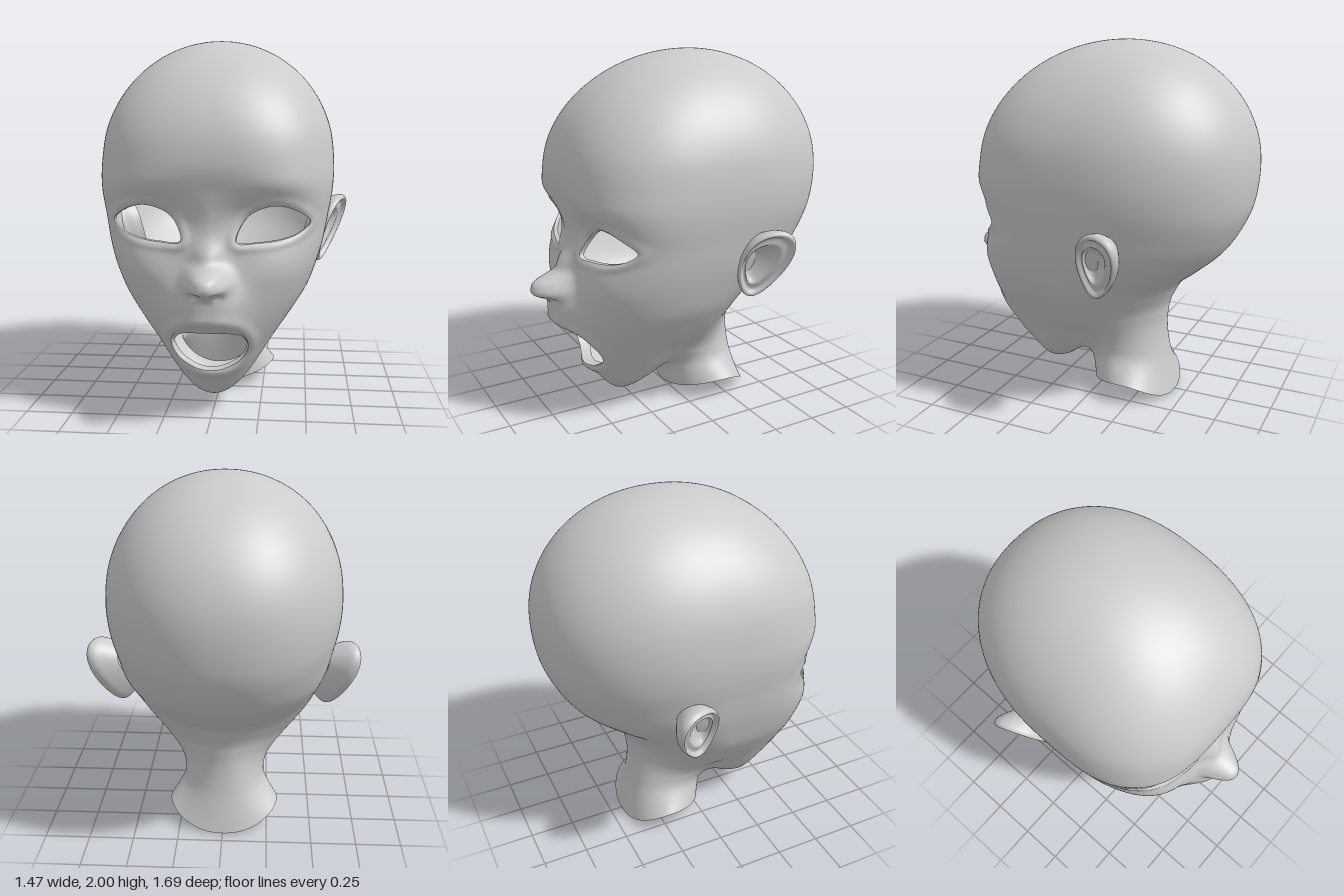
import * as THREE from 'three';
import { mergeVertices } from 'three/addons/utils/BufferGeometryUtils.js';

const V = (x, y, z = 0) => new THREE.Vector3(x, y, z);
const material = new THREE.MeshStandardMaterial({ color: 0xcccccc, side: THREE.DoubleSide });

// Smooth mesh from a list of triangle corners
function smoothMesh(name, corners) {
  let g = new THREE.BufferGeometry().setFromPoints(corners);
  g = mergeVertices(g, 1e-5);
  g.computeVertexNormals();
  const mesh = new THREE.Mesh(g, material);
  mesh.name = name;
  return mesh;
}

// Head cross-sections, crown to neck:
// front y, front z, side y, side z, half width, back y, back z, front squareness, pinch behind the jaw
const rings = [];
for (let deg = 105; deg >= 0; deg -= 15) {
  const s = Math.sin(deg * Math.PI / 180), c = Math.cos(deg * Math.PI / 180);
  const y = 1.35 + 0.65 * s;
  rings.push([y, -0.12 + 0.785 * c, y, -0.12 + 0.04 * c, 0.64 * c, y, -0.12 - 0.73 * c, 2.85 - 0.75 * s, 0]);
}
rings.push(
  [1.2, 0.64, 1.2, -0.05, 0.635, 1.15, -0.83, 3.1, 0],
  [1.05, 0.625, 1.05, 0, 0.61, 1.0, -0.77, 3, 0],
  [0.9, 0.625, 0.92, 0.01, 0.585, 0.88, -0.69, 3, 0.05],
  [0.75, 0.65, 0.8, 0.03, 0.55, 0.77, -0.57, 2.75, 0.15],
  [0.6, 0.65, 0.68, 0.05, 0.505, 0.68, -0.46, 2.45, 0.28],
  [0.45, 0.615, 0.58, 0.06, 0.445, 0.6, -0.41, 2.25, 0.35],
  [0.3, 0.535, 0.51, 0.08, 0.398, 0.53, -0.38, 2.05, 0.37],
  [0.17, 0.45, 0.455, 0.08, 0.352, 0.47, -0.37, 2, 0.33],
  [0.09, 0.36, 0.41, 0.06, 0.308, 0.42, -0.365, 2, 0.25],
  [0.105, 0.25, 0.365, 0.01, 0.265, 0.37, -0.365, 2, 0.13],
  [0.18, 0.14, 0.31, -0.07, 0.235, 0.3, -0.37, 2, 0.04],
  [0.17, 0.075, 0.23, -0.15, 0.235, 0.19, -0.387, 2, 0],
  [0.05, 0.04, 0.12, -0.22, 0.31, 0.002, -0.43, 2, 0]
);
const CHIN = 16;
const BACK_SQUARENESS = 2.2;

// Catmull-Rom blend between neighbouring cross-sections
function ringAt(v) {
  const last = rings.length - 1, i = Math.min(Math.floor(v), last - 1), t = v - i;
  const [a, b, c, d] = [i - 1, i, i + 1, i + 2].map(k => rings[Math.max(0, Math.min(last, k))]);
  return b.map((p, k) => p + 0.5 * t * (c[k] - a[k] +
    t * (2 * a[k] - 5 * p + 4 * c[k] - d[k] + t * (3 * (p - c[k]) + d[k] - a[k]))));
}

// Openings, as closed outlines in x and y
const outline = pts => new THREE.CatmullRomCurve3(pts.map(p => V(p[0], p[1])), true).getPoints(48);
const eyeOutline = outline([[0.14, 0.962], [0.155, 1.03], [0.21, 1.1], [0.33, 1.143], [0.44, 1.115],
  [0.51, 1.055], [0.45, 1.0], [0.36, 0.972], [0.25, 0.96]]);
const mouthHalf = [[0.09, 0.54], [0.165, 0.505], [0.2, 0.43], [0.172, 0.345], [0.095, 0.294]];
const mouthOutline = outline([[0, 0.546], ...mouthHalf, [0, 0.278],
  ...mouthHalf.map(([x, y]) => [-x, y]).reverse()]);

// Signed distance to an outline, negative inside
function distance(poly, x, y) {
  let best = Infinity, inside = false;
  for (let i = 0; i < poly.length - 1; i++) {
    const a = poly[i], b = poly[i + 1], ex = b.x - a.x, ey = b.y - a.y;
    const t = Math.max(0, Math.min(1, ((x - a.x) * ex + (y - a.y) * ey) / (ex * ex + ey * ey || 1)));
    best = Math.min(best, Math.hypot(x - a.x - t * ex, y - a.y - t * ey));
    if ((a.y > y) !== (b.y > y) && x < a.x + ex * (y - a.y) / ey) inside = !inside;
  }
  return inside ? -best : best;
}

// Facial relief, mirrored in x: x, y, width, height, amount, flatness
const relief = [
  [0, 0.775, 0.095, 0.064, 0.165, 3],    // nose tip
  [0, 0.88, 0.075, 0.085, 0.06, 2],      // nose bridge
  [0.1, 0.765, 0.035, 0.035, 0.03, 2],   // nostril wings
  [0.055, 0.715, 0.026, 0.016, -0.035, 2], // nostrils
  [0, 0.635, 0.16, 0.11, 0.08, 3],       // upper lip
  [0, 0.26, 0.12, 0.035, 0.02, 2],       // lower lip
  [0.29, 1.07, 0.17, 0.1, -0.085, 2],    // eye sockets
  [0.38, 1.25, 0.2, 0.06, 0.012, 2],     // brows
  [0.38, 0.84, 0.16, 0.12, 0.02, 2]      // cheeks
];
const bell = (q, power = 2) => Math.exp(-(Math.abs(q) ** power));

// Point on the head, with its distance from the nearest opening
function headPoint(v, angle) {
  const [yf, zf, ys, zs, w, yb, zb, squareness, pinch] = ringAt(v);
  const s = Math.sin(angle), c = Math.cos(angle);
  const n = c < 0 ? BACK_SQUARENESS : squareness;
  const r = (Math.abs(s) ** n + Math.abs(c) ** n) ** (-1 / n), t = r * Math.abs(c);
  if (c < 0) {
    const p = V(w * r * s * (1 - pinch * t * t), ys + (yb - ys) * t * t, zs + (zb - zs) * t);
    return { p, d: 1 };
  }
  const p = V(w * r * s, ys + (yf - ys) * t * t, zs + (zf - zs) * t);
  if (v >= CHIN || p.y > 1.6) return { p, d: 1 };
  const x = Math.abs(p.x);
  const eye = distance(eyeOutline, x, p.y), mouth = distance(mouthOutline, x, p.y);
  for (const [cx, cy, sx, sy, amount, power] of relief) {
    p.z += amount * bell((x - cx) / sx, power) * bell((p.y - cy) / sy, power);
  }
  p.z += 0.013 * bell((eye - 0.018) / 0.02) + 0.018 * bell((mouth - 0.025) / 0.03);
  return { p, d: Math.min(eye, mouth) };
}

// Head skin with the openings cut out, and the rims that turn inward
function buildHead(group) {
  const COLS = 240, ROWS = 200, grid = [], skin = [], lids = [], lips = [];
  for (let i = 0; i <= ROWS; i++) {
    const v = 1 + (rings.length - 2) * i / ROWS, row = [];
    for (let j = 0; j < COLS; j++) row.push(headPoint(v, j / COLS * Math.PI * 2));
    row.push(row[0]);
    grid.push(row);
  }
  const inward = p => {
    if (p.y < 0.8) return V(p.x * 0.95, 0.4 + (p.y - 0.4) * (p.y > 0.4 ? 0.7 : 0.97), p.z - 0.06);
    const cx = Math.sign(p.x) * 0.32;
    return V(cx + (p.x - cx) * 0.98, 1.05 + (p.y - 1.05) * 0.98, p.z - 0.025);
  };
  const addTriangle = (...tri) => {
    const poly = [];
    let leave, enter;
    tri.forEach((a, k) => {
      const b = tri[(k + 1) % 3];
      if (a.d > 0) poly.push(a.p);
      if ((a.d > 0) !== (b.d > 0)) {
        const m = a.p.clone().lerp(b.p, a.d / (a.d - b.d));
        poly.push(m);
        if (a.d > 0) leave = m;
        else enter = m;
      }
    });
    for (let k = 2; k < poly.length; k++) skin.push(poly[0], poly[k - 1], poly[k]);
    if (leave) {
      const li = inward(leave), ei = inward(enter);
      (leave.y < 0.8 ? lips : lids).push(enter, leave, li, enter, li, ei);
    }
  };
  for (let i = 0; i < ROWS; i++) {
    for (let j = 0; j < COLS; j++) {
      const a = grid[i][j], b = grid[i + 1][j], c = grid[i][j + 1], d = grid[i + 1][j + 1];
      if (i > 0) addTriangle(a, b, c);
      addTriangle(b, d, c);
    }
  }
  group.add(smoothMesh('head', skin), smoothMesh('eyelidRims', lids), smoothMesh('innerLips', lips));
}

// Ear: egg-shaped loops from the root, over the rim and into the bowl
function buildEar() {
  const centre = V(0.627, 0.925, -0.22);
  const back = V(0.36, 0, -0.93).normalize(), up = V(0.29, 0.96, 0).normalize();
  const out = back.clone().cross(up).normalize();
  // loop size, height, forward shift
  const keys = [[0.6, -0.11, 0.03], [0.84, -0.06, 0.012], [0.96, -0.025, 0], [1, 0, 0], [0.97, 0.018, 0],
    [0.89, 0.02, 0], [0.81, 0.002, 0], [0.72, 0, 0.004], [0.6, 0.003, 0.015], [0.48, -0.022, 0.03],
    [0.25, -0.045, 0.04], [0, -0.05, 0.045]];
  const path = new THREE.CatmullRomCurve3(keys.map(k => V(...k))).getPoints(44);
  const COLS = 56, corners = [];
  const loops = path.map(({ x: size, y: height, z: shift }) => Array.from({ length: COLS + 1 }, (_, j) => {
    const f = -(j % COLS) / COLS * Math.PI * 2, s = Math.sin(f);
    const a = size * (0.135 * Math.cos(f) * (1 + 0.28 * s) + 0.035 * s) - shift;
    return centre.clone().addScaledVector(back, a).addScaledVector(up, size * 0.2 * s).addScaledVector(out, height);
  }));
  for (let i = 0; i < loops.length - 1; i++) {
    for (let j = 0; j < COLS; j++) {
      const a = loops[i][j], b = loops[i + 1][j], c = loops[i][j + 1], d = loops[i + 1][j + 1];
      corners.push(a, b, c, b, d, c);
    }
  }
  return smoothMesh('leftEar', corners);
}

export function createModel() {
  const model = new THREE.Group();
  model.name = 'mannequinHead';
  buildHead(model);
  const leftEar = buildEar(), rightEar = leftEar.clone();
  rightEar.name = 'rightEar';
  rightEar.scale.x = -1;
  model.add(leftEar, rightEar);
  return model;
}
